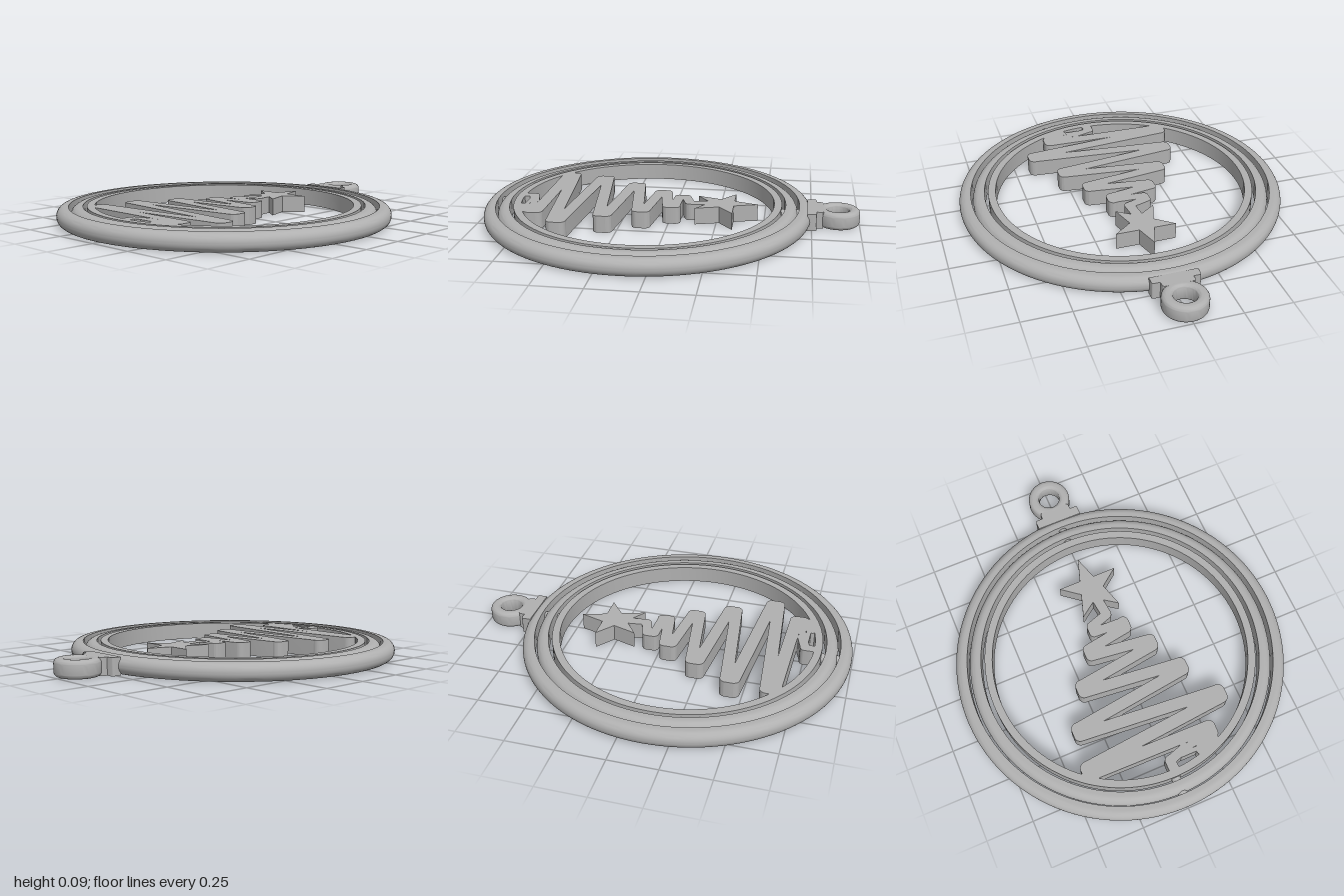
import * as THREE from 'three';
import { toCreasedNormals } from 'three/addons/utils/BufferGeometryUtils.js';

const H = 0.09;   // thickness of the whole ornament
const CZ = 0.125; // centre of the rings

export function createModel() {
  const group = new THREE.Group();
  const silver = new THREE.MeshStandardMaterial({ color: 0xb0b0b0 });

  const add = (name, geometry, parent = group) => {
    const mesh = new THREE.Mesh(geometry, silver);
    mesh.name = name;
    parent.add(mesh);
    return mesh;
  };

  // Ring turned about y; corner is the rounding radius of the outer edge
  const ring = (name, inner, outer, corner, z, innerCorner = 0, segments = 128) => {
    const pts = [];
    const arc = (cx, cy, r, from) => {
      const n = r ? 8 : 0;
      for (let i = 0; i <= n; i++) {
        const a = from + (n ? (i / n) * Math.PI / 2 : 0);
        pts.push(new THREE.Vector2(cx + r * Math.cos(a), cy + r * Math.sin(a)));
      }
    };
    arc(outer - corner, corner, corner, -Math.PI / 2);
    arc(outer - corner, H - corner, corner, 0);
    arc(inner + innerCorner, H - innerCorner, innerCorner, Math.PI / 2);
    arc(inner + innerCorner, innerCorner, innerCorner, Math.PI);
    pts.push(pts[0].clone());
    const geometry = toCreasedNormals(new THREE.LatheGeometry(pts, segments), 0.6);
    return add(name, geometry.translate(0, 0, z));
  };

  // Flat plate drawn in x and z, standing on y = 0
  const plate = (name, shape, parent) => {
    const geometry = new THREE.ExtrudeGeometry(shape, { depth: H, bevelEnabled: false, curveSegments: 12 });
    geometry.rotateX(Math.PI / 2).translate(0, H, 0);
    return add(name, toCreasedNormals(geometry, 0.6), parent);
  };

  // Three nested rings and the hanging loop
  ring('outerRing', 0.81, 0.873, 0.043, CZ);
  ring('middleRing', 0.737, 0.8, 0.043, CZ);
  ring('innerRing', 0.677, 0.717, 0, CZ);
  ring('hangingLoop', 0.057, 0.114, 0.025, -0.886, 0.02, 48);

  // Pivot pins across both gaps, top and bottom
  for (const side of [-1, 1]) {
    for (const r of [0.803, 0.725]) {
      const pin = new THREE.CylinderGeometry(0.018, 0.03, 0.05, 20);
      pin.rotateX(side * Math.PI / 2).translate(0, H / 2, CZ + side * r);
      add('pivotPin', pin);
    }
  }

  // Neck and collar that join the loop to the outer ring
  const collar = (name, w, z0, z1, c) => {
    const s = new THREE.Shape();
    s.moveTo(-w, z1);
    s.lineTo(-w, z0 + c);
    s.quadraticCurveTo(-w, z0, -w + c, z0);
    s.lineTo(w - c, z0);
    s.quadraticCurveTo(w, z0, w, z0 + c);
    s.lineTo(w, z1);
    plate(name, s);
  };
  collar('loopNeck', 0.083, -0.81, -0.765, 0.015);
  collar('loopCollar', 0.124, -0.775, -0.725, 0.012);

  // Star
  const star = new THREE.Shape([
    [0.003, -0.465], [0.042, -0.34], [0.166, -0.34], [0.07, -0.265], [0.108, -0.14],
    [0.003, -0.215], [-0.1, -0.14], [-0.06, -0.265], [-0.155, -0.34], [-0.037, -0.34],
  ].map(([x, z]) => new THREE.Vector2(x, z)));
  plate('star', star);

  // Scribbled tree, made of round-ended strokes
  const tree = new THREE.Group();
  tree.name = 'tree';
  group.add(tree);
  const stroke = (name, x0, z0, x1, z1, r) => {
    const a = Math.atan2(z1 - z0, x1 - x0);
    const s = new THREE.Shape();
    s.absarc(x1, z1, r, a - Math.PI / 2, a + Math.PI / 2);
    s.absarc(x0, z0, r, a + Math.PI / 2, a + Math.PI * 1.5);
    s.closePath();
    plate(name, s, tree);
  };

  // Turning points of the zigzag: x, z, stroke radius
  const turns = [
    [0.02, -0.105, 0.03], [-0.08, -0.055, 0.026], [0.085, -0.013, 0.03],
    [-0.145, 0.06, 0.03], [0.175, 0.135, 0.031], [-0.258, 0.23, 0.032],
    [0.268, 0.32, 0.032], [-0.365, 0.435, 0.033], [0.388, 0.535, 0.034],
    [-0.4, 0.642, 0.034], [0.26, 0.69, 0.034],
  ];
  const gap = 0.018;
  turns.forEach(([x, z, r], i) => {
    if (i > 0) stroke('treeTurn', x, z - gap, x, z + gap, r);
    if (i === turns.length - 1) return;
    const [nx, nz, nr] = turns[i + 1];
    stroke('treeStroke', x, z + (i ? gap : 0), nx, nz - gap, Math.min(r, nr));
  });
  stroke('treeTip', 0.008, -0.21, 0.02, -0.11, 0.027);

  // Curled trunk running into the inner ring
  stroke('trunkCurl', 0.25, 0.712, 0.1, 0.725, 0.018);
  stroke('trunkCurl', 0.1, 0.725, 0.005, 0.755, 0.025);
  stroke('trunkFoot', 0.005, 0.755, 0.005, 0.8, 0.027);
  stroke('trunkFoot', 0.255, 0.72, 0.18, 0.765, 0.032);
  stroke('trunkFoot', 0.18, 0.752, 0.07, 0.752, 0.012);
  return group;
}
